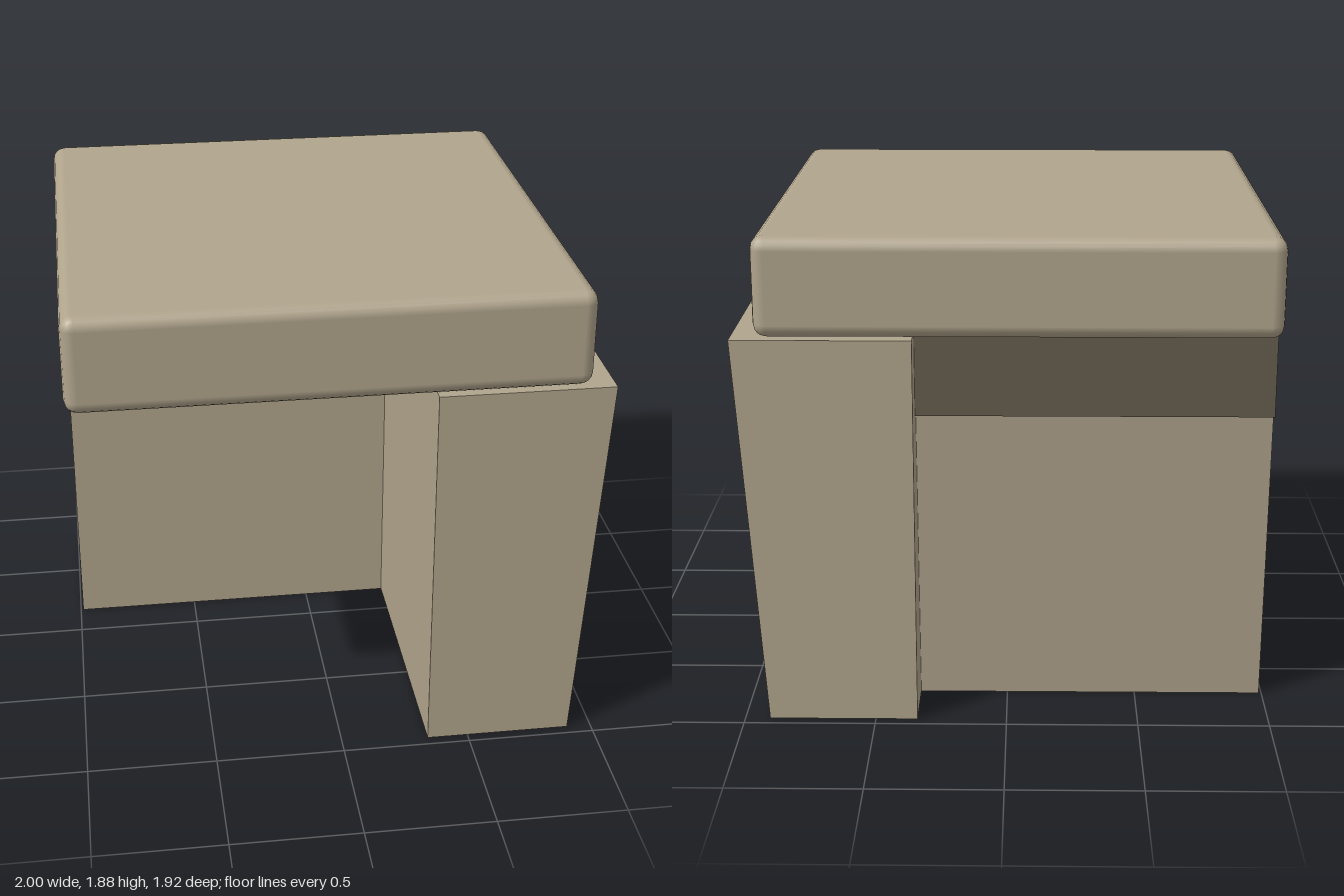
import * as THREE from 'three';
import { RoundedBoxGeometry } from 'three/addons/geometries/RoundedBoxGeometry.js';

const tan = new THREE.MeshStandardMaterial({ color: 0xb0a48c });
tan.name = 'tan';
const darkTan = new THREE.MeshStandardMaterial({ color: 0x645c4d });
darkTan.name = 'dark tan';

// Places a geometry so it fills the box from min to max
function part(name, geometry, material, min, max) {
  const mesh = new THREE.Mesh(geometry, material);
  mesh.name = name;
  mesh.position.set(...min.map((v, i) => (v + max[i]) / 2));
  return mesh;
}

const boxOf = (min, max) => new THREE.BoxGeometry(...max.map((v, i) => v - min[i]));

// Box whose outer face on one axis leans outward at the top
function leaningBox(min, max, axis, side, lean) {
  const geometry = boxOf(min, max);
  const p = geometry.attributes.position;
  for (let i = 0; i < p.count; i++) {
    const v = p.getComponent(i, axis);
    if (p.getY(i) > 0 && v * side > 0) p.setComponent(i, axis, v + side * lean);
  }
  geometry.computeVertexNormals();
  return geometry;
}

export function createModel() {
  const group = new THREE.Group();
  group.name = 'stool';

  // Full-depth side wall, outer face leaning out
  const sideMin = [0.34, 0, -0.96], sideMax = [0.905, 1.5, 0.96];
  group.add(part('sideWall', leaningBox(sideMin, sideMax, 0, 1, 0.095), tan, sideMin, sideMax));

  // Cross wall set in from the back, rear face leaning out
  const crossMin = [-0.99, 0, -0.72], crossMax = [0.34, 1.5, -0.16];
  group.add(part('crossWall', leaningBox(crossMin, crossMax, 2, -1, 0.095), tan, crossMin, crossMax));

  // Dark rail under the seat at the back
  const railMin = [-0.99, 1.18, -0.84], railMax = [0.34, 1.5, -0.815];
  group.add(part('backRail', boxOf(railMin, railMax), darkTan, railMin, railMax));

  // Cushion with rounded edges
  const seatMin = [-1, 1.503, -0.96], seatMax = [0.915, 1.875, 0.96];
  const size = seatMax.map((v, i) => v - seatMin[i]);
  group.add(part('seatCushion', new RoundedBoxGeometry(...size, 2, 0.05), tan, seatMin, seatMax));

  return group;
}
